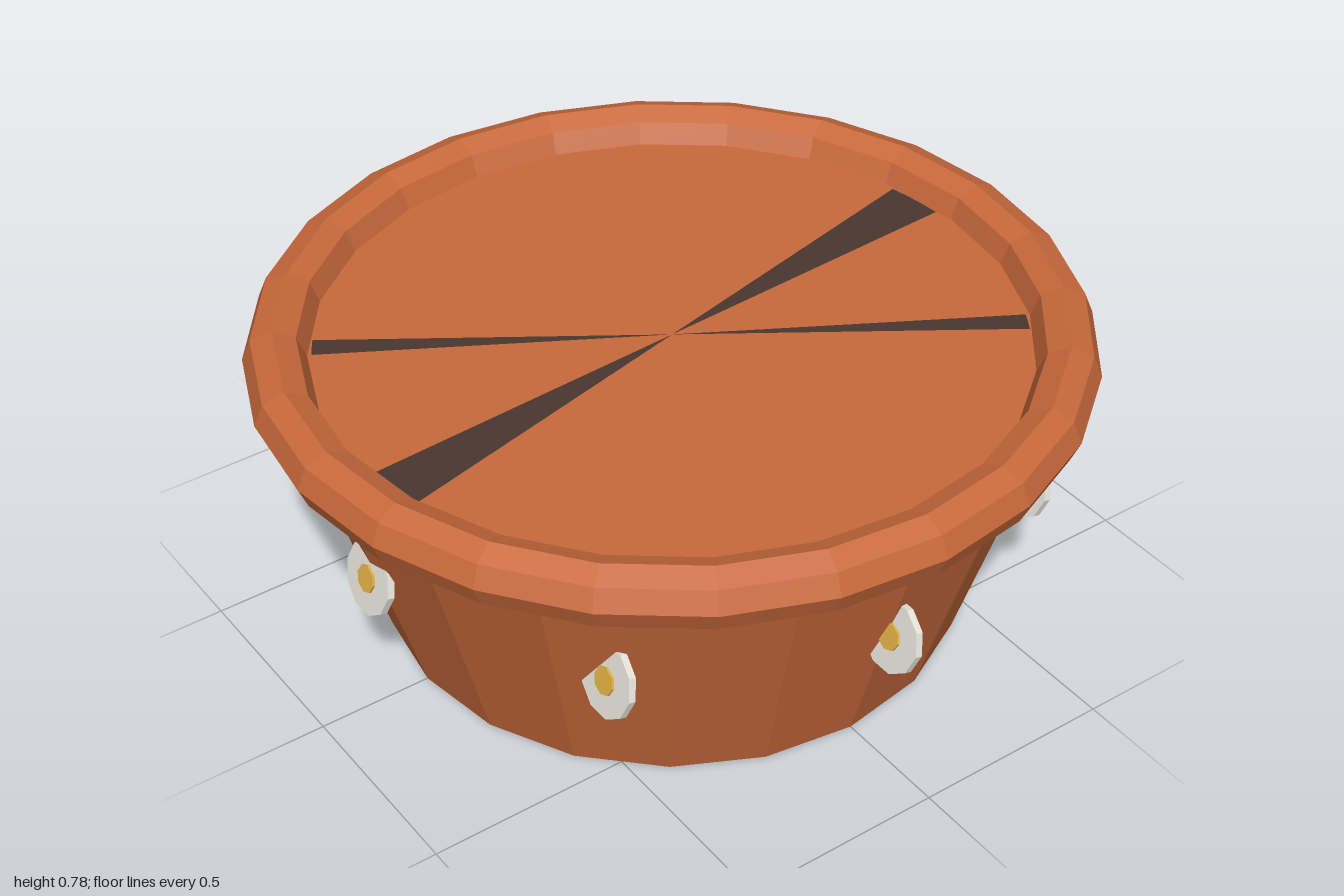
import * as THREE from 'three';

const flat = (hex, name) => {
  const m = new THREE.MeshStandardMaterial({ color: hex, flatShading: true });
  m.name = name;
  return m;
};

function part(name, geometry, material, parent) {
  const mesh = new THREE.Mesh(geometry, material);
  mesh.name = name;
  parent.add(mesh);
  return mesh;
}

export function createModel() {
  const terracotta = flat(0xc8693b, 'terracotta');
  const soilBrown = flat(0x4a3630, 'soil brown');
  const petalWhite = flat(0xf0eee4, 'petal white');
  const yellow = flat(0xe2b244, 'flower yellow');

  const model = new THREE.Group();
  model.name = 'planter';

  // Tapered tub, closed at the level of the rim's middle
  const rimY = 0.705, rimR = 0.925;
  part('tub', new THREE.CylinderGeometry(rimR, 0.715, rimY, 20), terracotta, model).position.y = rimY / 2;

  // Rounded rim
  const rim = part('rim', new THREE.TorusGeometry(rimR, 0.075, 8, 24), terracotta, model);
  rim.rotation.x = Math.PI / 2;
  rim.position.y = rimY;

  // Slivers of soil showing on the tub's top: [start, width] in degrees from the front
  const rad = THREE.MathUtils.degToRad;
  for (const [start, width] of [[3, 10], [-34, 4], [183, 10], [146, 4]]) {
    const sliver = new THREE.CircleGeometry(0.84, 2, rad(start - 90), rad(width)).rotateX(-Math.PI / 2);
    part('soil', sliver, soilBrown, model).position.y = rimY + 0.002;
  }

  // Eight flower discs around the tub, all leaning back and facing front
  const petals = new THREE.CylinderGeometry(0.09, 0.09, 0.018, 10).rotateY(Math.PI / 10).rotateX(Math.PI / 2);
  const heart = new THREE.CylinderGeometry(0.034, 0.034, 0.03, 8).rotateX(Math.PI / 2);
  for (let i = 0; i < 8; i++) {
    const a = (i / 8) * Math.PI * 2;
    const flower = new THREE.Group();
    flower.name = 'flower';
    part('petals', petals, petalWhite, flower);
    part('flowerCentre', heart, yellow, flower);
    flower.position.set(Math.sin(a) * 0.842, 0.378, Math.cos(a) * 0.842);
    flower.rotation.x = -0.25;
    model.add(flower);
  }
  return model;
}
